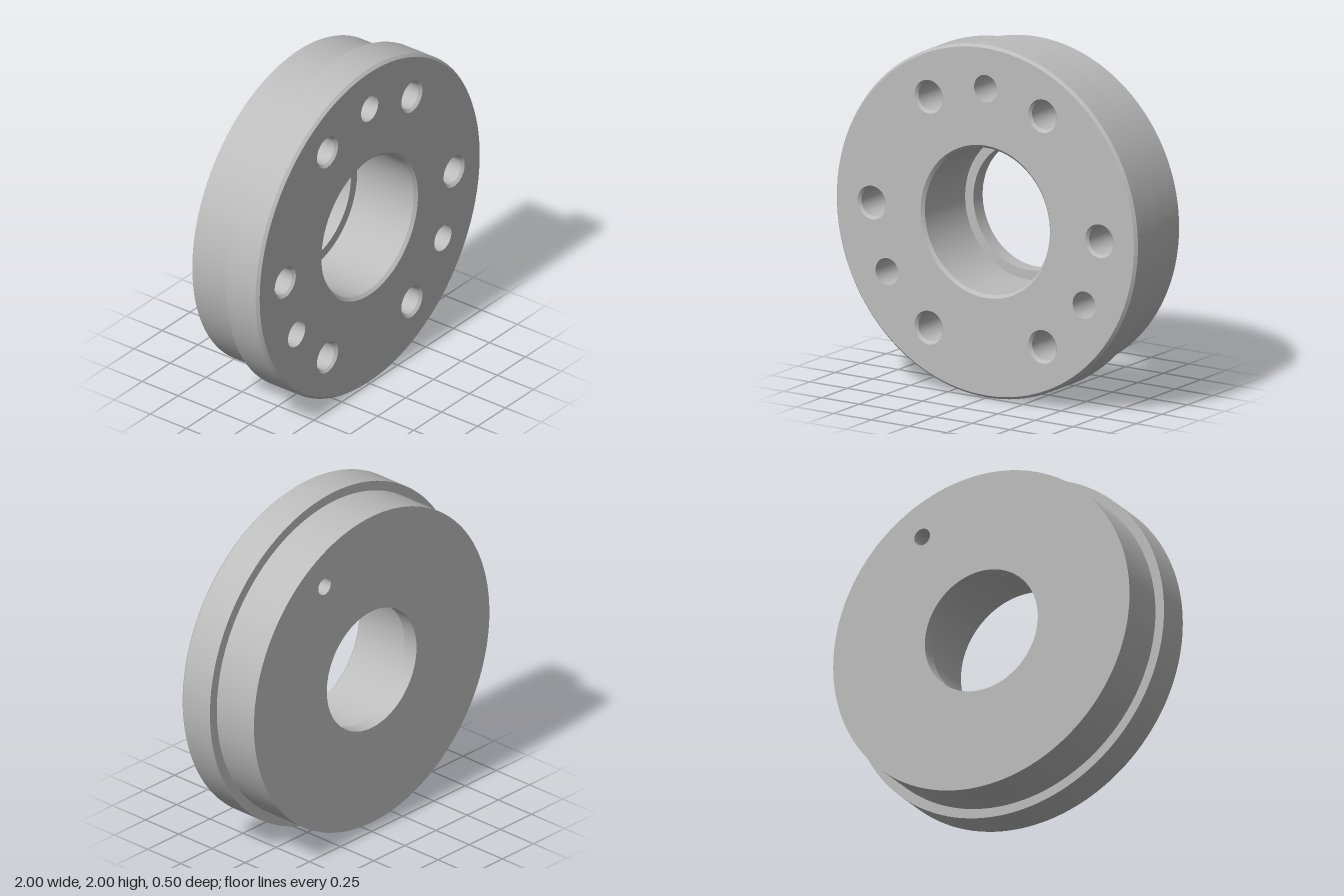
import * as THREE from 'three';
import { mergeGeometries } from 'three/addons/utils/BufferGeometryUtils.js';

const BACK = -0.25, FRONT = 0.25;
const BODY_SEGS = 128, HOLE_SEGS = 40;
const BACK_R = 0.945, RIM_R = 0.985, BORE_R = 0.36, BORE_MOUTH_R = 0.432;
const BOLT_CIRCLE = 0.756, BOLT_MOUTH_R = 0.095, PIN_R = 0.077, PILOT_R = 0.05;

// Surface of revolution about z from [radius, z] points, with a crisp edge at each point
function turned(points, segs) {
  const bands = [];
  for (let i = 0; i < points.length - 1; i++) {
    const pair = [points[i], points[i + 1]].map(([r, z]) => new THREE.Vector2(r, z));
    bands.push(new THREE.LatheGeometry(pair, segs));
  }
  return mergeGeometries(bands).rotateX(Math.PI / 2);
}

function circle(r, segs, cx = 0, cy = 0) {
  return Array.from({ length: segs }, (_, i) => {
    const a = (i / segs) * Math.PI * 2;
    return new THREE.Vector2(cx + r * Math.cos(a), cy + r * Math.sin(a));
  });
}

function onBoltCircle(degrees) {
  const a = THREE.MathUtils.degToRad(degrees);
  return [BOLT_CIRCLE * Math.cos(a), BOLT_CIRCLE * Math.sin(a)];
}

// Flat annular face pierced by round holes given as [radius, angle]
function piercedFace(outer, inner, holes) {
  const shape = new THREE.Shape(circle(outer, BODY_SEGS));
  shape.holes.push(new THREE.Path(circle(inner, BODY_SEGS)));
  for (const [r, deg] of holes) {
    shape.holes.push(new THREE.Path(circle(r, HOLE_SEGS, ...onBoltCircle(deg))));
  }
  return new THREE.ShapeGeometry(shape);
}

export function createModel() {
  const group = new THREE.Group();
  group.name = 'flangedRing';
  const steel = new THREE.MeshStandardMaterial({ color: 0xbcbcbc });
  steel.name = 'steel grey';

  const add = (name, geometry, x = 0, y = 0, z = 0) => {
    const mesh = new THREE.Mesh(geometry, steel);
    mesh.name = name;
    mesh.position.set(x, 1 + y, z);
    group.add(mesh);
  };

  // Stepped outer wall with a chamfered front rim
  add('outerWall', turned([
    [BACK_R, BACK], [BACK_R, 0.03], [1, 0.03], [1, FRONT - 0.017], [RIM_R, FRONT],
  ], BODY_SEGS));

  // Central bore: chamfered mouth, wide seat and narrower lip at the back
  add('centralBore', turned([
    [BORE_MOUTH_R, FRONT], [0.415, FRONT - 0.017], [0.415, -0.16], [BORE_R, -0.16], [BORE_R, BACK],
  ], BODY_SEGS));

  const boltAngles = [0, 60, 120, 180, 240, 300];
  const pinAngles = [90, 210, 330];
  add('frontFace', piercedFace(RIM_R, BORE_MOUTH_R, [
    ...boltAngles.map((a) => [BOLT_MOUTH_R, a]),
    ...pinAngles.map((a) => [PIN_R, a]),
  ]), 0, 0, FRONT);

  // Turned to face backwards, so the pilot hole's angle is mirrored
  add('backFace', piercedFace(BACK_R, BORE_R, [[PILOT_R, 120]]).rotateY(Math.PI), 0, 0, BACK);

  // Countersunk bolt holes with drilled cone ends; one opens through to the back
  const drill = [[BOLT_MOUTH_R, FRONT], [0.08, FRONT - 0.015], [0.08, -0.06]];
  for (const angle of boltAngles) {
    const through = angle === 60;
    const end = through ? [[PILOT_R, -0.078], [PILOT_R, BACK]] : [[0, -0.108]];
    add(through ? 'throughHole' : 'boltHole', turned([...drill, ...end], HOLE_SEGS), ...onBoltCircle(angle));
  }

  // Flat-bottomed pin holes
  for (const angle of pinAngles) {
    add('pinHole', turned([[PIN_R, FRONT], [PIN_R, 0], [0, 0]], HOLE_SEGS), ...onBoltCircle(angle));
  }
  return group;
}
